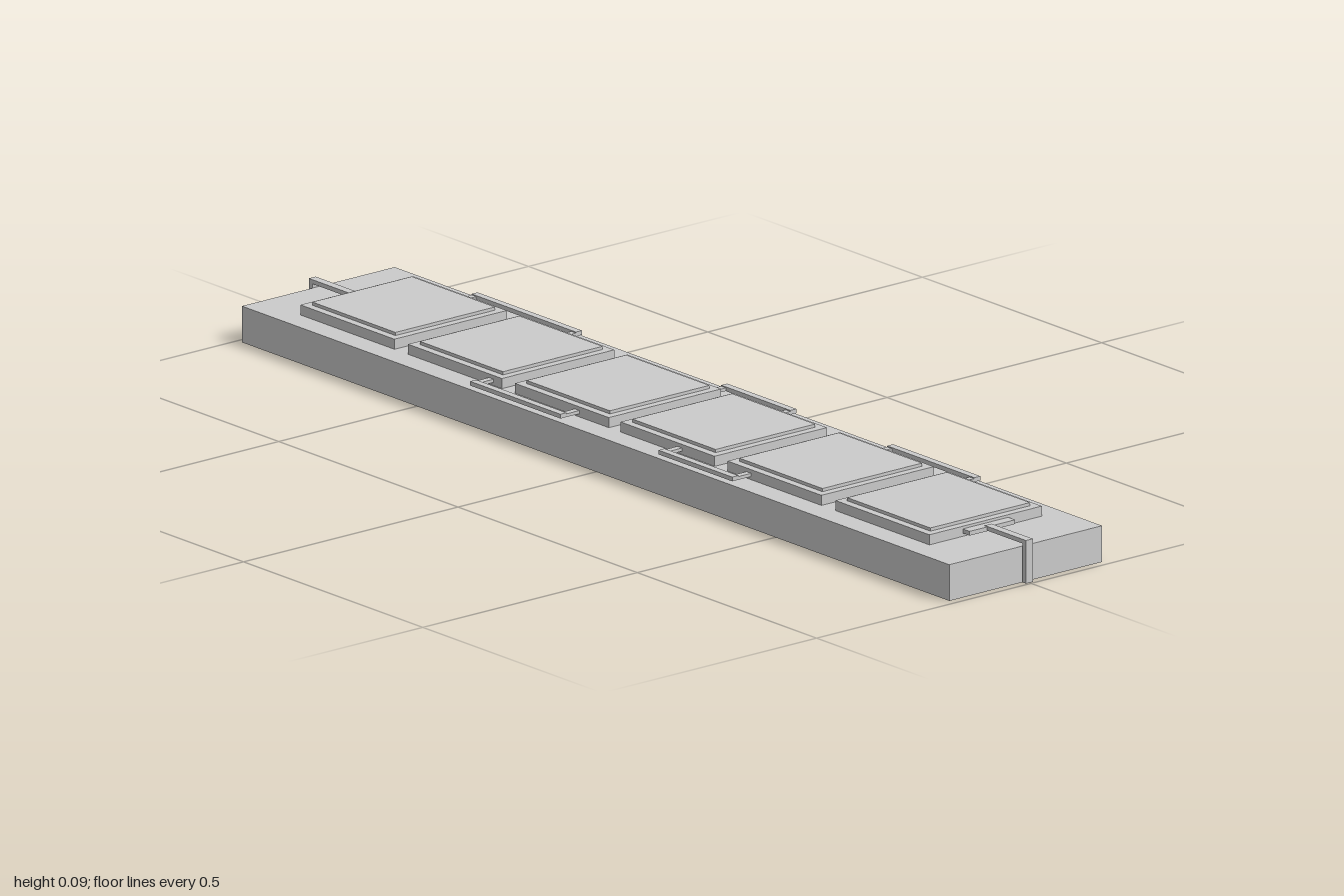
import * as THREE from 'three';

const material = new THREE.MeshStandardMaterial({ color: 0xcccccc, flatShading: true });

// Box given by its limits on each axis
function block(parent, name, [x0, x1], [y0, y1], [z0, z1]) {
  const mesh = new THREE.Mesh(new THREE.BoxGeometry(x1 - x0, y1 - y0, z1 - z0), material);
  mesh.name = name;
  mesh.position.set((x0 + x1) / 2, (y0 + y1) / 2, (z0 + z1) / 2);
  parent.add(mesh);
}

function group(parent, name) {
  const g = new THREE.Group();
  g.name = name;
  parent.add(g);
  return g;
}

export function createModel() {
  const model = new THREE.Group();
  model.name = 'cellStrip';

  // Long base slab
  block(model, 'baseSlab', [-0.178, 0.178], [0, 0.068], [-0.988, 0.985]);

  // Row of six square cells, each with a slightly inset lid
  [-0.75, -0.45, -0.152, 0.143, 0.441, 0.742].forEach((z) => {
    const cell = group(model, 'cell');
    block(cell, 'cellBody', [-0.131, 0.131], [0.068, 0.087], [z - 0.131, z + 0.131]);
    block(cell, 'cellLid', [-0.116, 0.116], [0.087, 0.093], [z - 0.116, z + 0.116]);
  });

  // C-shaped side straps linking neighbouring cells: [side, inner x, outer x, z start, z end]
  [
    [1, 0.155, 0.169, -0.746, -0.455],
    [1, 0.155, 0.169, -0.05, 0.143],
    [1, 0.155, 0.169, 0.413, 0.656],
    [-1, 0.161, 0.175, -0.355, -0.103],
    [-1, 0.161, 0.175, 0.17, 0.376],
  ].forEach(([side, inner, outer, z0, z1]) => {
    const strap = group(model, side > 0 ? 'leftStrap' : 'rightStrap');
    const span = (a, b) => (side > 0 ? [a, b] : [-b, -a]);
    block(strap, 'strapBar', span(inner, outer), [0.074, 0.082], [z0, z1]);
    block(strap, 'strapArm', span(0.125, inner), [0.074, 0.08], [z0, z0 + 0.013]);
    block(strap, 'strapArm', span(0.125, inner), [0.074, 0.08], [z1 - 0.013, z1]);
  });

  // End terminals: a wide tab and a narrow strip folded down over the slab's end
  [1, -1].forEach((s) => {
    const terminal = group(model, s > 0 ? 'frontTerminal' : 'backTerminal');
    const span = (a, b) => (s > 0 ? [a, b] : [-b, -a]);
    block(terminal, 'terminalTab', [-0.053, 0.053], [0.074, 0.082], span(0.865, 0.892));
    block(terminal, 'terminalStrip', [-0.012, 0.004], [0.075, 0.083], span(0.885, 1));
    block(terminal, 'terminalDrop', [-0.012, 0.004], [0.002, 0.075], span(0.99, 1));
  });

  return model;
}
